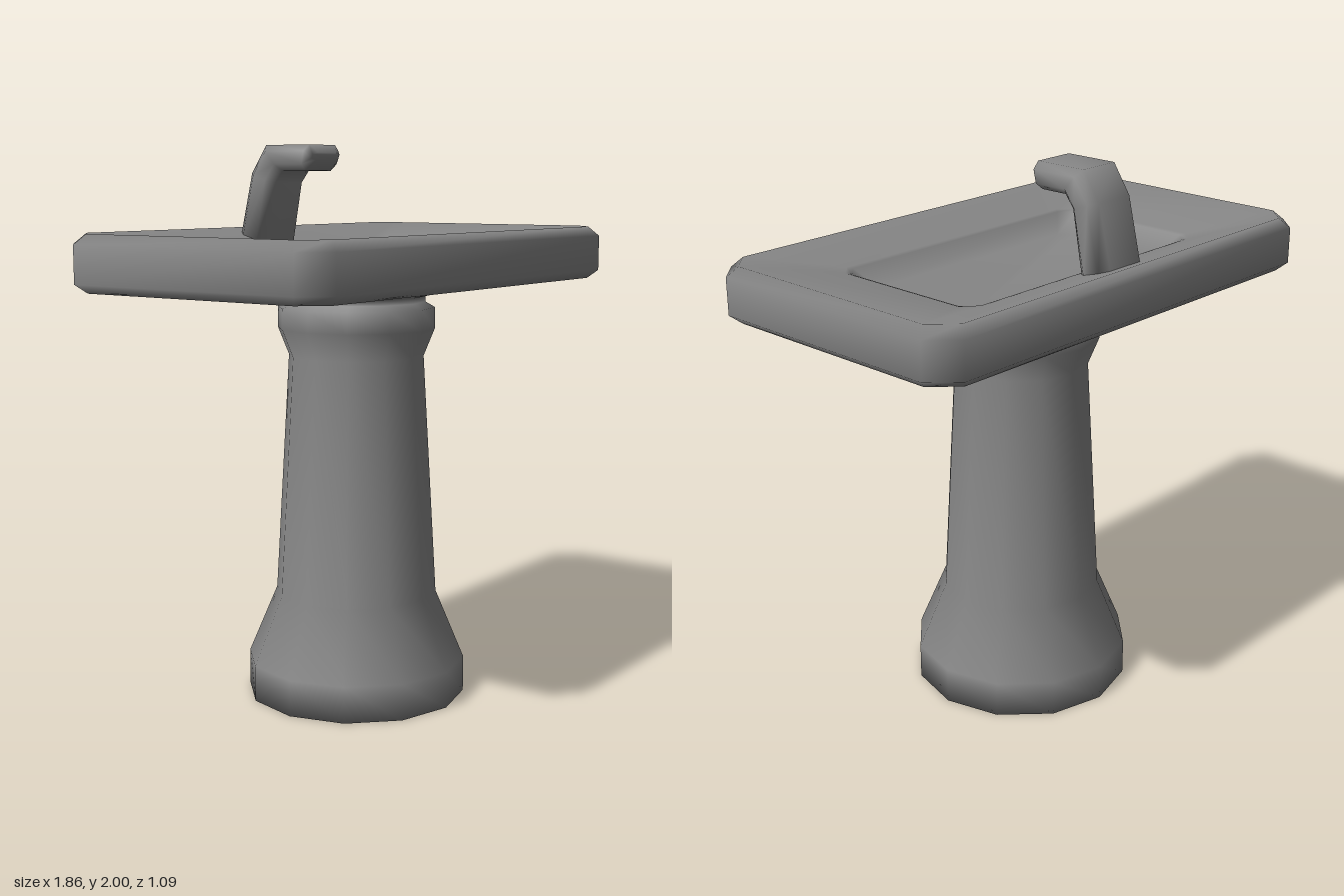
import * as THREE from 'three';

const material = new THREE.MeshStandardMaterial({ color: 0x878787 });

// Corners of a rectangle with cut corners, as [a, b] pairs
function cutRect(ha, hb, cutA, cutB = cutA) {
  const a = ha - cutA, b = hb - cutB;
  return [[ha, -b], [ha, b], [a, hb], [-a, hb], [-ha, b], [-ha, -b], [-a, -hb], [a, -hb]];
}

// Smooth closed skin through equal rings of points
function loft(rings) {
  const n = rings[0].length;
  const index = [];
  for (let r = 0; r < rings.length - 1; r++) {
    for (let i = 0; i < n; i++) {
      const p = r * n + i, q = r * n + (i + 1) % n;
      index.push(p, p + n, q, q, p + n, q + n);
    }
  }
  const end = (rings.length - 1) * n;
  for (let i = 1; i < n - 1; i++) {
    index.push(0, i, i + 1, end, end + i + 1, end + i);
  }
  const geometry = new THREE.BufferGeometry();
  geometry.setAttribute('position', new THREE.Float32BufferAttribute(rings.flat(2), 3));
  geometry.setIndex(index);
  geometry.computeVertexNormals();
  return geometry;
}

function addMesh(group, name, geometry) {
  const mesh = new THREE.Mesh(geometry, material);
  mesh.name = name;
  group.add(mesh);
  return mesh;
}

export function createModel() {
  const sink = new THREE.Group();
  sink.name = 'pedestalSink';

  // Basin: underside, outer wall, rim sloping inwards, then the shallow bowl
  const basinRings = [
    // half width, half depth, corner cut, height
    [0.895, 0.515, 0.085, 1.505],
    [0.93, 0.547, 0.09, 1.535],
    [0.93, 0.547, 0.09, 1.665],
    [0.895, 0.512, 0.08, 1.7],
    [0.585, 0.315, 0.05, 1.643],
    [0.57, 0.3, 0.05, 1.638],
    [0.5, 0.245, 0.04, 1.57],
  ].map(([hx, hz, cut, y]) => cutRect(hx, hz, cut).map(([x, z]) => [x, y, z]));
  addMesh(sink, 'basin', loft(basinRings));

  // Pedestal: twelve-sided column with a flared foot, neck and collar
  const profile = [
    [0, 0], [0.4, 0], [0.4, 0.13], [0.295, 0.38], [0.245, 1.25], [0.285, 1.35],
    [0.285, 1.425], [0.25, 1.445], [0.25, 1.465], [0.298, 1.475], [0.298, 1.51],
  ].map(([r, y]) => new THREE.Vector2(r, y));
  addMesh(sink, 'pedestal', new THREE.LatheGeometry(profile, 12)).position.z = 0.01;

  // Faucet: bevelled bar following back and front edge points, [z, y]
  const faucetRings = [
    // back point, front point, half width
    [[-0.466, 1.65], [-0.335, 1.65], 0.105],
    [[-0.405, 1.9], [-0.295, 1.865], 0.105],
    [[-0.338, 2], [-0.262, 1.908], 0.105],
    [[-0.14, 2], [-0.16, 1.908], 0.105],
    [[-0.12, 1.972], [-0.13, 1.945], 0.08],
  ].map(([back, front, half]) => cutRect(half, 1, 0.028, 0.5).map(([x, b]) => {
    const t = (b + 1) / 2;
    return [
      x,
      THREE.MathUtils.lerp(back[1], front[1], t),
      THREE.MathUtils.lerp(back[0], front[0], t),
    ];
  }));
  addMesh(sink, 'faucet', loft(faucetRings));

  return sink;
}
